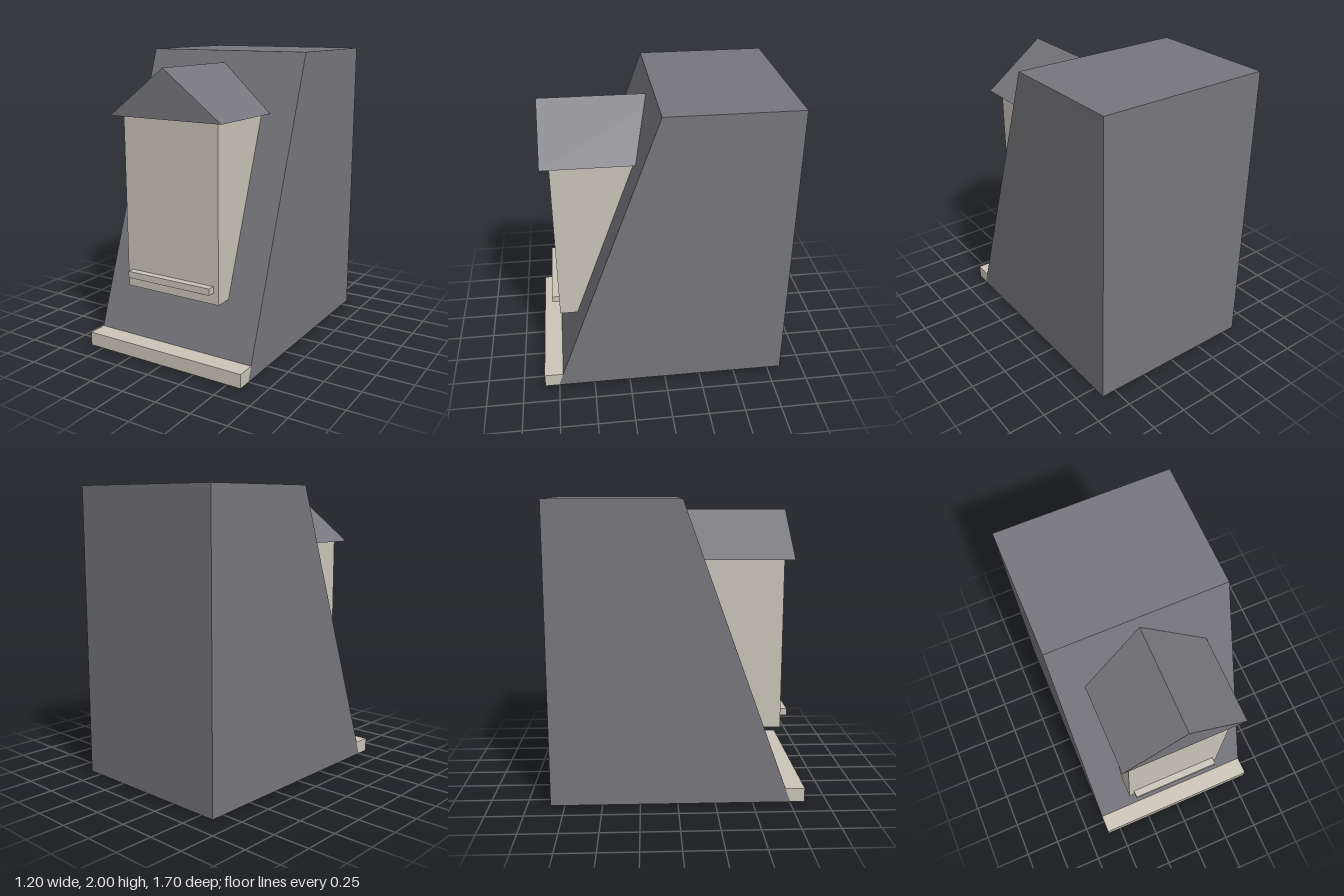
import * as THREE from 'three';

const slate = new THREE.MeshStandardMaterial({ color: 0x77767c, flatShading: true });
const cream = new THREE.MeshStandardMaterial({ color: 0xcac4b8, flatShading: true });

// Straight prism from a 2D outline, centred along its depth
function prism(points, depth) {
  const shape = new THREE.Shape(points.map(([x, y]) => new THREE.Vector2(x, y)));
  return new THREE.ExtrudeGeometry(shape, { depth, bevelEnabled: false }).translate(0, 0, -depth / 2);
}

// Prism whose outline is given as (z, y) and which runs along x
const sideProfile = (points, width) => prism(points, width).rotateY(-Math.PI / 2);

// Box given by its width, y range and z range
function block(width, y0, y1, z0, z1) {
  return new THREE.BoxGeometry(width, y1 - y0, z1 - z0).translate(0, (y0 + y1) / 2, (z0 + z1) / 2);
}

export function createModel() {
  const model = new THREE.Group();
  model.name = 'mansardDormer';
  const add = (name, geometry, material) => {
    const mesh = new THREE.Mesh(geometry, material);
    mesh.name = name;
    model.add(mesh);
  };

  // Sloped roof block with a flat top and upright back
  add('mansardRoof', sideProfile([[-0.845, 0], [0.755, 0], [0.03, 2], [-0.845, 2]], 1.2), slate);

  // Ledge along the foot of the slope
  add('eavesLedge', sideProfile([[0.755, 0], [0.85, 0], [0.85, 0.095], [0.72, 0.095]], 1.2), cream);

  // Dormer body, set back into the slope
  add('dormerBody', block(0.715, 0.445, 1.605, 0, 0.715), cream);

  // Window sill on the dormer front
  add('windowSill', block(0.64, 0.52, 0.565, 0.7, 0.765), cream);

  // Gabled dormer roof overhanging the front and sides
  const gable = prism([[-0.42, 1.605], [0.42, 1.605], [0, 1.92]], 0.88).translate(0, 0, 0.335);
  add('dormerRoof', gable, slate);

  return model;
}
